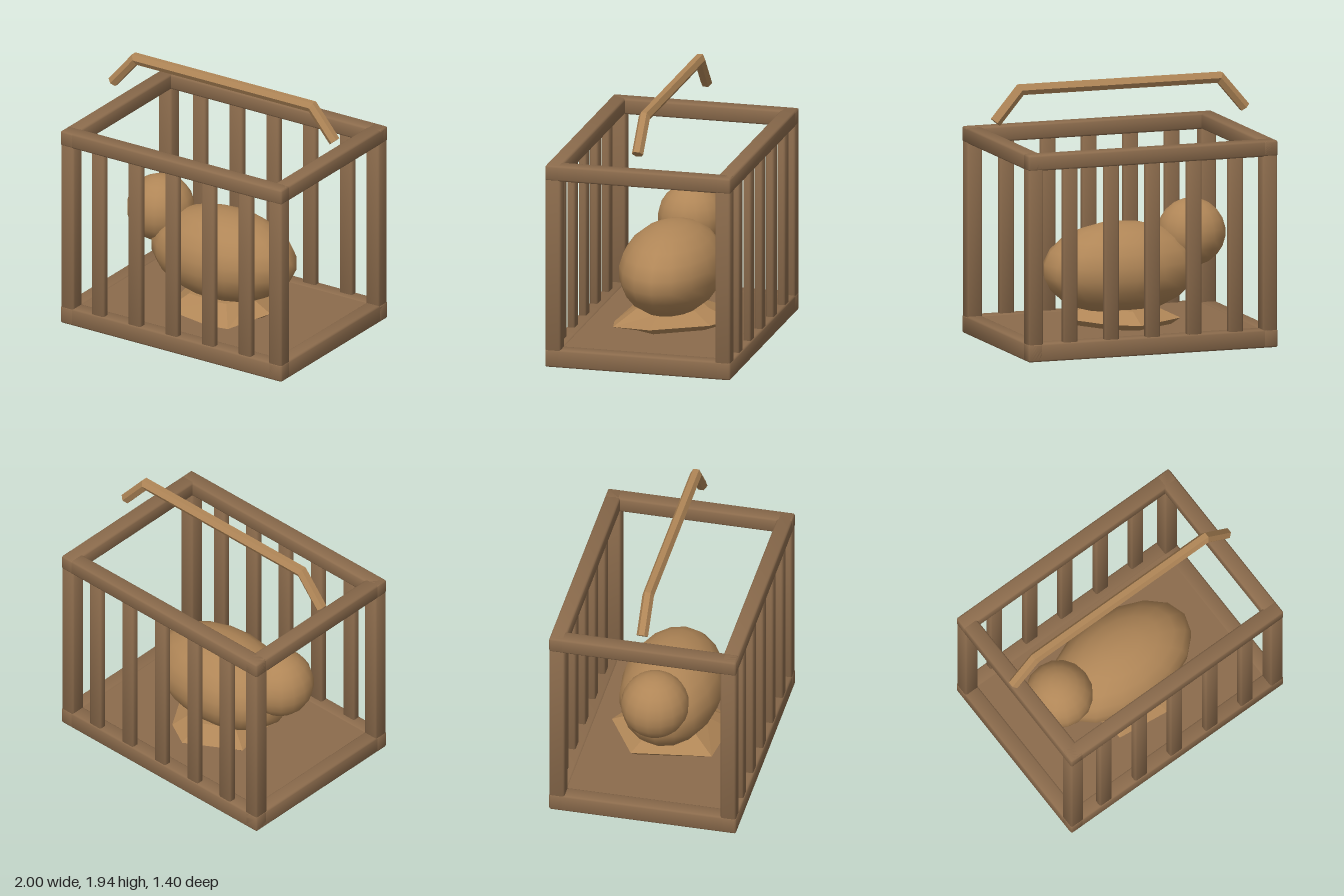
import * as THREE from 'three';
import { RoundedBoxGeometry } from 'three/addons/geometries/RoundedBoxGeometry.js';

const timber = new THREE.MeshStandardMaterial({ color: 0x8b6b4c });
timber.name = 'darkTimber';
const tan = new THREE.MeshStandardMaterial({ color: 0xb08657 });
tan.name = 'warmTan';

function add(parent, name, geometry, material, x = 0, y = 0, z = 0) {
  const mesh = new THREE.Mesh(geometry, material);
  mesh.name = name;
  mesh.position.set(x, y, z);
  parent.add(mesh);
  return mesh;
}

// Timber beam with small rounded edges and softly blended normals
function beam(w, h, d) {
  const g = new RoundedBoxGeometry(w, h, d, 2, 0.014);
  const { position, normal } = g.attributes;
  const p = new THREE.Vector3();
  const n = new THREE.Vector3();
  for (let i = 0; i < position.count; i++) {
    p.fromBufferAttribute(position, i);
    n.fromBufferAttribute(normal, i);
    n.add(new THREE.Vector3(Math.sign(p.x), Math.sign(p.y), Math.sign(p.z)).multiplyScalar(0.35)).normalize();
    normal.setXYZ(i, n.x, n.y, n.z);
  }
  return g;
}

// Flat-shaded solid skinned over rings of equal point count, capped at both ends
function loft(rings) {
  const pos = [];
  const n = rings[0].length;
  const tri = (...pts) => pts.forEach((p) => pos.push(p.x, p.y, p.z));
  for (let r = 0; r < rings.length - 1; r++) {
    for (let i = 0; i < n; i++) {
      const j = (i + 1) % n;
      const [a, b, c, d] = [rings[r][i], rings[r][j], rings[r + 1][j], rings[r + 1][i]];
      tri(a, b, c);
      tri(a, c, d);
    }
  }
  const last = rings[rings.length - 1];
  for (let i = 1; i < n - 1; i++) {
    tri(rings[0][0], rings[0][i + 1], rings[0][i]);
    tri(last[0], last[i], last[i + 1]);
  }
  const g = new THREE.BufferGeometry();
  g.setAttribute('position', new THREE.Float32BufferAttribute(pos, 3));
  g.computeVertexNormals();
  return g;
}

// Hexagonal rod with mitred bends
function rodGeometry(path, radius) {
  return loft(path.map((p, k) => {
    const dIn = p.clone().sub(path[k - 1] ?? p).normalize();
    const dOut = (path[k + 1] ?? p).clone().sub(p).normalize();
    const along = dIn.clone().add(dOut).normalize();
    const stretch = 1 / along.dot(k ? dIn : dOut);
    return Array.from({ length: 6 }, (_, i) => {
      const a = (i * Math.PI) / 3;
      const s = radius * Math.sin(a) * stretch;
      return new THREE.Vector3(p.x + along.y * s, p.y - along.x * s, radius * Math.cos(a));
    });
  }));
}

export function createModel() {
  const model = new THREE.Group();
  model.name = 'cagedAnimal';

  // Cage frame, posts, bars and floor
  const cage = new THREE.Group();
  cage.name = 'cage';
  model.add(cage);
  for (const s of [-1, 1]) {
    for (const [level, y, h] of [['bottom', 0.068, 0.135], ['top', 1.474, 0.116]]) {
      add(cage, level + 'LongRail', beam(1.94, h, 0.114), timber, 0, y, s * 0.643);
      add(cage, level + 'EndRail', beam(0.116, h, 1.4), timber, s * 0.912, y, 0);
    }
    for (const t of [-1, 1]) {
      add(cage, 'cornerPost', beam(0.114, 1.43, 0.114), timber, s * 0.911, 0.8, t * 0.641);
    }
    for (let i = -2; i <= 2; i++) {
      add(cage, 'bar', beam(0.112, 1.36, 0.058), timber, i * 0.322 - 0.003, 0.78, s * 0.665);
    }
  }
  add(cage, 'floor', new THREE.BoxGeometry(1.76, 0.1, 1.22), timber, 0, 0.08, 0);

  // Bent carrying handle above the cage
  const path = [[-0.97, 1.67], [-0.775, 1.9], [0.775, 1.9], [0.97, 1.67]];
  add(model, 'handle', rodGeometry(path.map(([x, y]) => new THREE.Vector3(x, y, 0)), 0.043), tan);

  // Animal body and head
  const animal = new THREE.Group();
  animal.name = 'animal';
  model.add(animal);
  add(animal, 'body', new THREE.SphereGeometry(1, 16, 11), tan, 0, 0.54, 0).scale.set(0.595, 0.34, 0.372);
  add(animal, 'head', new THREE.SphereGeometry(0.25, 16, 11), tan, -0.556, 0.77, 0);

  // Irregular faceted bedding pile, its rim dipping towards the front
  const rim = [
    [0, 0.175, -0.45], [-0.39, 0.178, -0.22], [-0.27, 0.155, 0.36], [0.13, 0.135, 0.4],
    [0.28, 0.135, 0.37], [0.44, 0.178, 0.05], [0.2, 0.175, -0.34],
  ];
  const ring = (k, height) => rim.map(([x, y, z]) => new THREE.Vector3(x * k, height ?? y, z * k));
  add(model, 'bedding', loft([ring(0.75, 0.1), ring(1), ring(0.6, 0.255)]), tan);

  return model;
}
